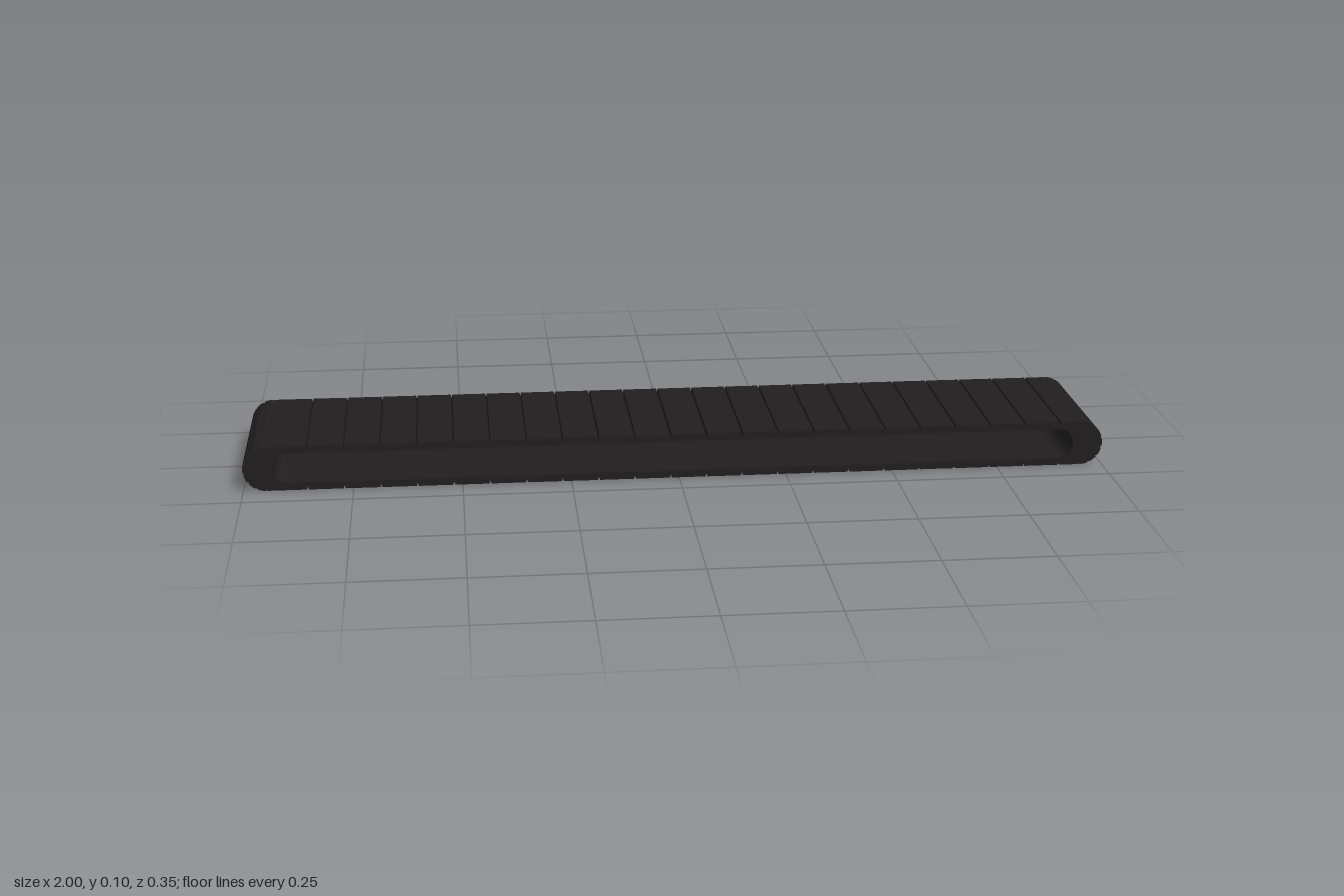
import * as THREE from 'three';

const WIDTH = 0.354, R = 0.0525, MID = 0.0525, END = 0.9475;
const INNER_R = 0.0355, INNER_END = 0.9, INNER_RX = 0.03;
const GROOVE = 0.0025, DEPTH = 0.008;

// Outer and inner belt points on a straight run (side: 1 top, -1 bottom)
const straight = (x, side) => ({
  o: new THREE.Vector2(x, MID + side * R),
  i: new THREE.Vector2(Math.max(-INNER_END, Math.min(INNER_END, x)), MID + side * INNER_R),
});

// Outer and inner belt points on a rounded end (side: 1 left, -1 right)
const turn = (a, side) => ({
  o: new THREE.Vector2(side * (END + R * Math.cos(a)), MID + R * Math.sin(a)),
  i: new THREE.Vector2(side * (INNER_END + INNER_RX * Math.cos(a)), MID + INNER_R * Math.sin(a)),
});

// One slat through a run of stations, with its outer seam edges bevelled
function slatGeometry(stations) {
  const outer = stations.map((s) => s.o.clone());
  const inner = stations.map((s) => s.i.clone());
  const n = outer.length - 1;
  const bevel = (end, next) => {
    const along = outer[next].clone().sub(outer[end]).normalize().multiplyScalar(GROOVE);
    const down = inner[end].clone().sub(outer[end]).normalize().multiplyScalar(DEPTH);
    return [outer[end].clone().add(down), outer[end].clone().add(along)];
  };
  const first = bevel(0, 1), last = bevel(n, n - 1).reverse();
  const contour = [...first, ...outer.slice(1, n), ...last, ...inner.reverse()];
  const geo = new THREE.ExtrudeGeometry(new THREE.Shape(contour), { depth: WIDTH, bevelEnabled: false });
  return geo.translate(0, 0, -WIDTH / 2);
}

export function createModel() {
  const model = new THREE.Group();
  model.name = 'conveyorBelt';
  const rubber = new THREE.MeshStandardMaterial({ color: 0x201e1f });
  const add = (parent, name, stations) => {
    const mesh = new THREE.Mesh(slatGeometry(stations), rubber);
    mesh.name = name;
    parent.add(mesh);
  };

  // Seams along the flat runs
  const seams = [-END];
  for (let k = 1; k <= 22; k++) seams.push(-0.937 + k * 0.0834);
  seams.push(END);

  for (const side of [1, -1]) {
    // Flat run
    const run = new THREE.Group();
    run.name = side > 0 ? 'topRun' : 'bottomRun';
    for (let k = 0; k < seams.length - 1; k++) {
      add(run, 'slat', [straight(seams[k], side), straight(seams[k + 1], side)]);
    }

    // Rounded end made of wedge-shaped slats
    const end = new THREE.Group();
    end.name = side > 0 ? 'leftEnd' : 'rightEnd';
    const wedges = 7, steps = 3;
    for (let k = 0; k < wedges; k++) {
      const stations = [];
      for (let j = 0; j <= steps; j++) {
        const a = -Math.PI / 2 + (Math.PI * (k + j / steps)) / wedges;
        stations.push(turn(a, side));
      }
      add(end, 'endSlat', stations);
    }
    model.add(run, end);
  }
  return model;
}
